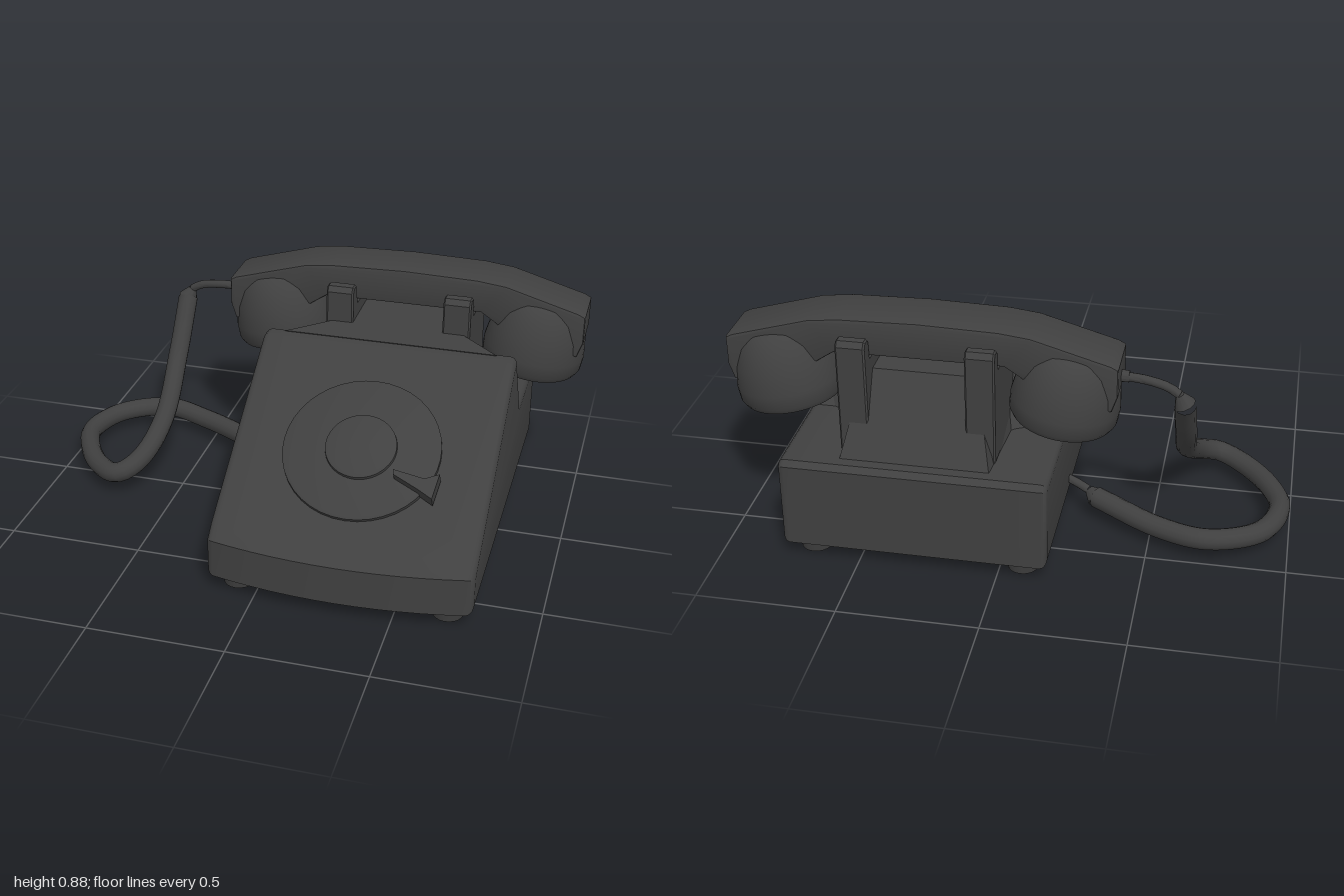
import * as THREE from 'three';
import { toCreasedNormals } from 'three/addons/utils/BufferGeometryUtils.js';

const CX = 0.3; // centre line of the housing
const V = (x, y, z) => new THREE.Vector3(x, y, z);

export function createModel() {
  const model = new THREE.Group();
  const mat = new THREE.MeshStandardMaterial({ color: 0x404040 });

  const add = (name, geo, parent = model, crease = 0.6) => {
    const mesh = new THREE.Mesh(toCreasedNormals(geo, crease), mat);
    mesh.name = name;
    parent.add(mesh);
    return mesh;
  };

  // Extrude an outline, bevelled inwards and centred on its depth
  const slab = (points, depth, bevel, steps = 1, bevelSegments = 2) => {
    const shape = new THREE.Shape(points.map(([x, y]) => new THREE.Vector2(x, y)));
    return new THREE.ExtrudeGeometry(shape, {
      depth: depth - 2 * bevel, steps, bevelEnabled: bevel > 0, bevelSegments,
      bevelSize: bevel, bevelThickness: bevel, bevelOffset: -bevel,
    }).translate(0, 0, bevel - depth / 2);
  };

  // Housing: side profile (z, y) swept across x, with a bowed front
  const body = slab([
    [0.71, 0.055], [0.71, 0.2], [0.65, 0.245], [-0.06, 0.672], [-0.11, 0.675],
    [-0.3, 0.39], [-0.69, 0.39], [-0.71, 0.37], [-0.71, 0.055],
  ], 0.955, 0.025, 12, 3).rotateY(-Math.PI / 2);
  const p = body.attributes.position;
  for (let i = 0; i < p.count; i++) {
    const u = p.getX(i) / 0.4775, z = p.getZ(i);
    p.setZ(i, z - 0.055 * u * u * Math.max(0, (z - 0.3) / 0.41));
  }
  add('housing', body.translate(CX, 0, 0));

  // Cradle hump: flares into the crest in front, slopes down at the back
  const hump = new THREE.BoxGeometry(2, 1, 2, 1, 1, 2);
  const rings = { top: { z: [-0.1, -0.25, -0.5], w: [0.4, 0.24, 0.2], y: 0.678 },
    base: { z: [-0.28, -0.36, -0.66], w: [0.44, 0.29, 0.27], y: 0.37 } };
  const h = hump.attributes.position;
  for (let i = 0; i < h.count; i++) {
    const r = h.getY(i) > 0 ? rings.top : rings.base;
    const k = Math.round(1 - h.getZ(i));
    h.setXYZ(i, CX + h.getX(i) * r.w[k], r.y, r.z[k]);
  }
  add('cradleHump', hump, model, 0.3);

  // Two U-shaped prongs that hold the handset
  for (const s of [-1, 1]) {
    const prong = slab([
      [-0.235, 0.39], [-0.235, 0.795], [-0.25, 0.815], [-0.285, 0.815], [-0.3, 0.8],
      [-0.31, 0.735], [-0.525, 0.735], [-0.53, 0.8], [-0.545, 0.815], [-0.575, 0.815],
      [-0.59, 0.795], [-0.59, 0.39],
    ], 0.105, 0.006, 1, 1).rotateY(-Math.PI / 2);
    add('cradleProng', prong.translate(CX + s * 0.225, 0, 0));
  }

  // Feet
  for (const x of [-0.38, 0.38]) for (const z of [0.58, -0.62]) {
    add('foot', new THREE.CylinderGeometry(0.068, 0.055, 0.07, 20).translate(CX + x, 0.035, z));
  }

  // Dial lying on the sloping front
  const dial = new THREE.Group();
  dial.name = 'dial';
  dial.position.set(CX, 0.447, 0.315);
  dial.rotation.x = Math.atan(0.6);
  model.add(dial);
  const turned = (pts, n = 40) =>
    new THREE.LatheGeometry(pts.map(([r, y]) => new THREE.Vector2(r, y)), n);
  add('dialPlate', turned([[0, -0.02], [0.285, -0.02], [0.285, 0.012], [0.275, 0.018], [0, 0.018]]), dial);
  add('dialCentre', turned([[0.13, 0.01], [0.128, 0.03], [0.115, 0.036], [0, 0.038]]), dial);
  add('fingerStop', slab([
    [0.135, 0.085], [0.25, 0.105], [0.3, 0.08], [0.29, 0.18], [0.235, 0.15], [0.14, 0.105],
  ], 0.05, 0).rotateX(Math.PI / 2).translate(0, 0.025, 0), dial);

  // Handset: arched bar with a tilted cup at each end
  const handset = new THREE.Group();
  handset.name = 'handset';
  handset.position.set(0.302, 0, -0.423);
  model.add(handset);
  const half = [
    [0.3, 0.74], [0.36, 0.7], [0.42, 0.64], [0.67, 0.6],
    [0.69, 0.66], [0.69, 0.765], [0.665, 0.778], [0.39, 0.857], [0.28, 0.87],
  ];
  const mirrored = half.map(([x, y]) => [-x, y]).reverse();
  add('handsetBar', slab([...half, [0, 0.877], ...mirrored], 0.21, 0.01), handset);
  for (const s of [-1, 1]) {
    const cup = add(s < 0 ? 'mouthpiece' : 'earpiece', turned([
      [0, 0.02], [0.14, 0.02], [0.155, 0], [0.18, 0], [0.192, 0.02], [0.194, 0.07],
      [0.182, 0.15], [0.155, 0.22], [0.12, 0.265], [0.07, 0.285], [0, 0.29],
    ]), handset);
    cup.position.set(s * 0.487, 0.52, -0.002);
    cup.rotation.z = -s * 0.15;
  }

  // Cord: thick coil section with tapered ends and thin leads
  const tube = (name, pts, r, n) =>
    add(name, new THREE.TubeGeometry(new THREE.CatmullRomCurve3(pts), n, r, 12), model, 1);
  const taper = (a, b, r1, r2) => {
    const d = b.clone().sub(a);
    const mesh = add('cordTaper', new THREE.CylinderGeometry(r2, r1, d.length(), 12));
    mesh.position.copy(a).addScaledVector(d, 0.5);
    mesh.quaternion.setFromUnitVectors(V(0, 1, 0), d.normalize());
  };
  const coil = [
    V(-0.61, 0.61, -0.44), V(-0.61, 0.42, -0.3), V(-0.605, 0.23, -0.09), V(-0.65, 0.13, 0.07),
    V(-0.72, 0.09, 0.13), V(-0.82, 0.075, 0.07), V(-0.92, 0.075, -0.07), V(-0.96, 0.075, -0.2),
    V(-0.9, 0.075, -0.37), V(-0.72, 0.08, -0.46), V(-0.54, 0.075, -0.41), V(-0.29, 0.085, -0.27),
  ];
  tube('cordCoil', coil, 0.039, 80);
  const upper = V(-0.59, 0.65, -0.445), lower = V(-0.26, 0.1, -0.25);
  taper(coil[0], upper, 0.039, 0.016);
  taper(coil[coil.length - 1], lower, 0.039, 0.018);
  tube('handsetLead', [upper, V(-0.55, 0.672, -0.44), V(-0.47, 0.688, -0.43), V(-0.36, 0.692, -0.423)], 0.016, 16);
  tube('housingLead', [lower, V(-0.21, 0.108, -0.22), V(-0.15, 0.115, -0.19)], 0.016, 8);
  taper(V(-0.36, 0.692, -0.423), V(-0.415, 0.692, -0.425), 0.024, 0.02);

  return model;
}
